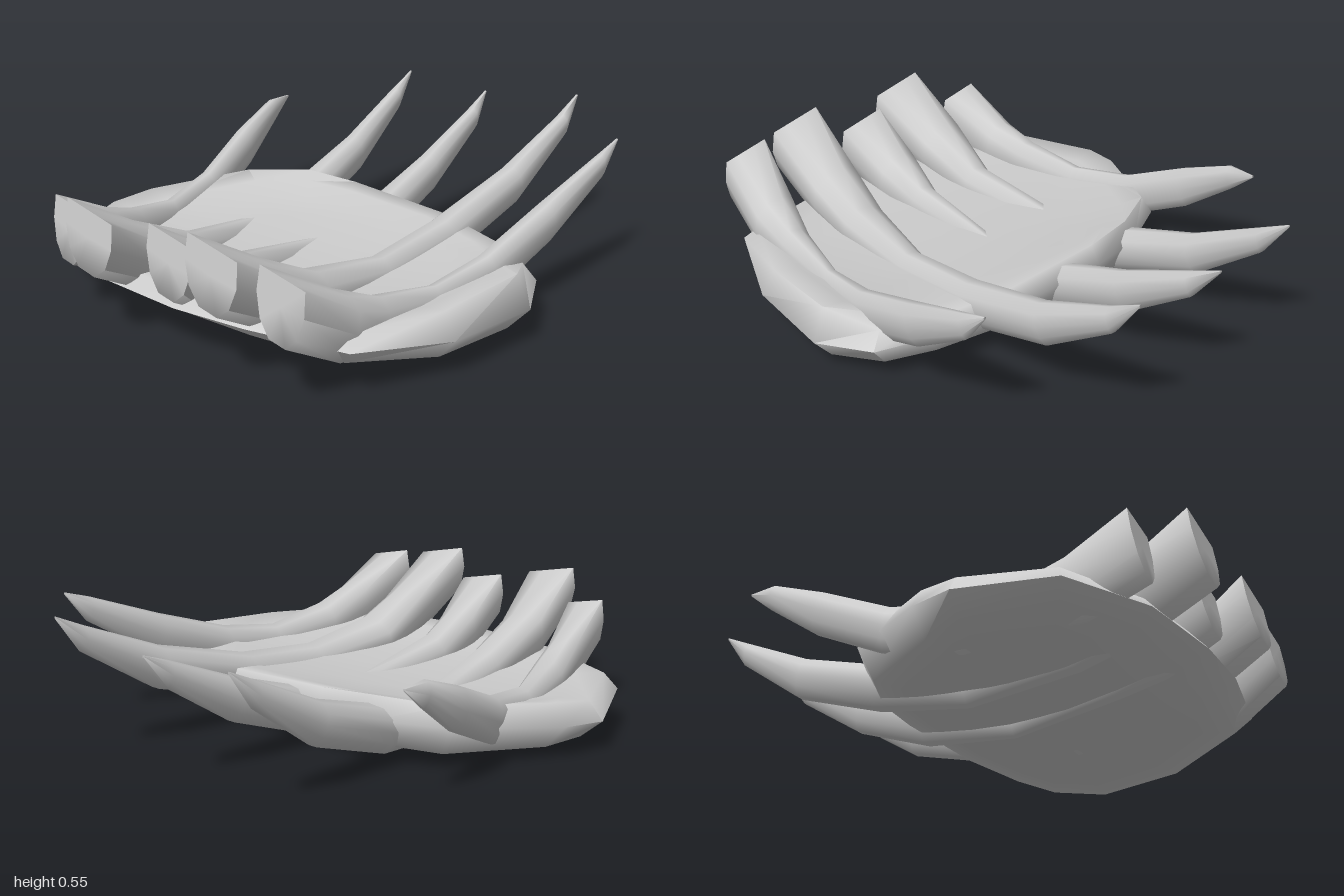
import * as THREE from 'three';
import { toCreasedNormals } from 'three/addons/utils/BufferGeometryUtils.js';

const material = new THREE.MeshStandardMaterial({ color: 0xcccccc });

// Closed skin over rings of points (rings run clockwise seen from the end they climb towards)
function loft(rings, crease) {
  const n = rings[0].length, pos = [], index = [];
  rings.forEach(r => r.forEach(p => pos.push(...p)));
  for (let i = 0; i < rings.length - 1; i++) {
    for (let j = 0; j < n; j++) {
      const k = (j + 1) % n, a = i * n + j, b = i * n + k;
      index.push(a, a + n, b, b, a + n, b + n);
    }
  }
  // end caps
  [0, rings.length - 1].forEach((ri, end) => {
    const c = pos.length / 3, ring = rings[ri];
    for (let d = 0; d < 3; d++) pos.push(ring.reduce((s, p) => s + p[d], 0) / n);
    for (let j = 0; j < n; j++) {
      const a = ri * n + j, b = ri * n + (j + 1) % n;
      if (end) index.push(c, b, a); else index.push(c, a, b);
    }
  });
  const g = new THREE.BufferGeometry();
  g.setAttribute('position', new THREE.Float32BufferAttribute(pos, 3));
  g.setIndex(index);
  return toCreasedNormals(g, crease);
}

function addMesh(parent, name, geometry) {
  const mesh = new THREE.Mesh(geometry, material);
  mesh.name = name;
  parent.add(mesh);
}

// Pad outline: x, z, height of the outer edge, height of the upper rim
const outline = [
  [-0.15, -0.32, 0.18, 0.25], [0.3, -0.31, 0.17, 0.23], [0.6, -0.24, 0.16, 0.21],
  [0.78, -0.15, 0.14, 0.2], [0.88, 0.05, 0.13, 0.25], [0.83, 0.42, 0.14, 0.23],
  [0.67, 0.76, 0.18, 0.22], [0.3, 0.84, 0.18, 0.22], [0, 0.86, 0.17, 0.22],
  [-0.4, 0.83, 0.16, 0.21], [-0.76, 0.69, 0.14, 0.2], [-0.89, 0.37, 0.12, 0.19],
  [-0.84, 0.2, 0.13, 0.21], [-0.62, -0.17, 0.17, 0.24], [-0.38, -0.29, 0.18, 0.26],
];

// Both faces of the pad sag along z like a hammock
const underside = z => 0.04 + 0.22 * (z - 0.15) ** 2;
const hollow = z => 0.175 + 0.15 * (z - 0.35) ** 2;

// Layers from the underside, round the edge, into the hollow top
function padGeometry() {
  const ring = (s, height) => outline.map(([x, z, edge, rim]) => {
    const zs = 0.2 + (z - 0.2) * s;
    return [x * s, height(zs, edge, rim), zs];
  });
  return loft([
    ...[0.2, 0.5, 0.75, 0.91].map(s => ring(s, underside)),
    ring(1, (z, edge) => edge),
    ring(0.94, (z, edge, rim) => rim),
    ring(0.82, (z, edge, rim) => (rim + hollow(z)) / 2),
    ...[0.65, 0.4, 0.15].map(s => ring(s, hollow)),
  ], 1.35);
}

// Claw cross-section: x, y, and how far a shoulder drops where the claw is round
const section = [
  [-0.95, 1, 0.5], [-0.4, 1, 0.1], [0.4, 1, 0], [0.95, 1, 0.4], [1, 0.2, 0.2],
  [0.78, -0.55, 0], [0.35, -1, 0], [-0.35, -1, 0], [-0.78, -0.55, 0], [-1, 0.2, 0.2],
];

// Shared claw stations from pointed back tip to blunt front:
// bottom, top, lean of the top in z, roundness of the top
const stations = [
  [0.49, 0.5, 0, 1], [0.36, 0.45, 0.02, 1], [0.17, 0.32, 0.04, 1], [0.05, 0.215, 0.03, 1],
  [0, 0.18, 0, 1], [0.06, 0.25, -0.02, 1], [0.13, 0.35, -0.04, 0.6], [0.27, 0.48, -0.03, 0],
];

// Each claw: height offsets of tip, middle and front, then x, z, width per station
const claws = [
  { name: 'farRightClaw', tip: -0.07, raise: 0.04, front: -0.07, path: [
    [-0.73, -0.56, 0.01], [-0.73, -0.47, 0.05], [-0.71, -0.28, 0.09], [-0.67, -0.02, 0.09],
    [-0.63, 0.25, 0.09], [-0.58, 0.5, 0.13], [-0.55, 0.66, 0.13], [-0.51, 0.87, 0.16]] },
  { name: 'rightClaw', tip: 0.01, raise: 0, front: 0, path: [
    [-0.38, -0.97, 0.01], [-0.38, -0.87, 0.06], [-0.38, -0.6, 0.1], [-0.37, -0.25, 0.15],
    [-0.33, 0.1, 0.1], [-0.29, 0.5, 0.14], [-0.3, 0.75, 0.19], [-0.27, 0.99, 0.22]] },
  { name: 'middleClaw', tip: -0.01, raise: 0, front: -0.05, path: [
    [0, -0.98, 0.01], [0.01, -0.88, 0.06], [0, -0.6, 0.1], [-0.01, -0.28, 0.14],
    [-0.01, 0.1, 0.07], [-0.02, 0.52, 0.13], [-0.02, 0.7, 0.17], [0, 0.89, 0.2]] },
  { name: 'leftClaw', tip: 0.05, raise: 0.04, front: 0.01, path: [
    [0.42, -1, 0.01], [0.42, -0.9, 0.06], [0.39, -0.6, 0.11], [0.35, -0.2, 0.14],
    [0.33, 0.18, 0.13], [0.29, 0.52, 0.19], [0.28, 0.72, 0.2], [0.27, 0.97, 0.22]] },
  { name: 'farLeftClaw', tip: 0.02, raise: 0.05, front: -0.03, path: [
    [0.77, -0.69, 0.01], [0.76, -0.6, 0.05], [0.71, -0.32, 0.1], [0.67, 0, 0.1],
    [0.63, 0.27, 0.08], [0.59, 0.55, 0.13], [0.57, 0.72, 0.17], [0.53, 0.94, 0.19]] },
];

function clawGeometry({ tip, raise, front, path }) {
  const lifts = [tip, (tip + raise) / 2, raise, raise, raise, raise / 2, front / 2, front];
  return loft(path.map(([x, z, width], i) => {
    const [low, high, lean, round] = stations[i];
    const mid = (low + high) / 2 + lifts[i], half = (high - low) / 2;
    // blunt ends roll slightly towards the left side
    const roll = i > 5 ? 0.22 : 0;
    return section.map(([u, top, drop]) => {
      const v = top - drop * round, dx = u * width / 2;
      return [x + dx, mid + v * half - roll * dx, z + lean * (v + 1) / 2];
    });
  }), 1.4);
}

export function createModel() {
  const group = new THREE.Group();
  group.name = 'clawedPad';
  addMesh(group, 'pad', padGeometry());
  claws.forEach(c => addMesh(group, c.name, clawGeometry(c)));
  // rest on the ground, centred
  const box = new THREE.Box3().setFromObject(group), c = box.getCenter(new THREE.Vector3());
  group.children.forEach(m => m.geometry.translate(-c.x, -box.min.y, -c.z));
  return group;
}
